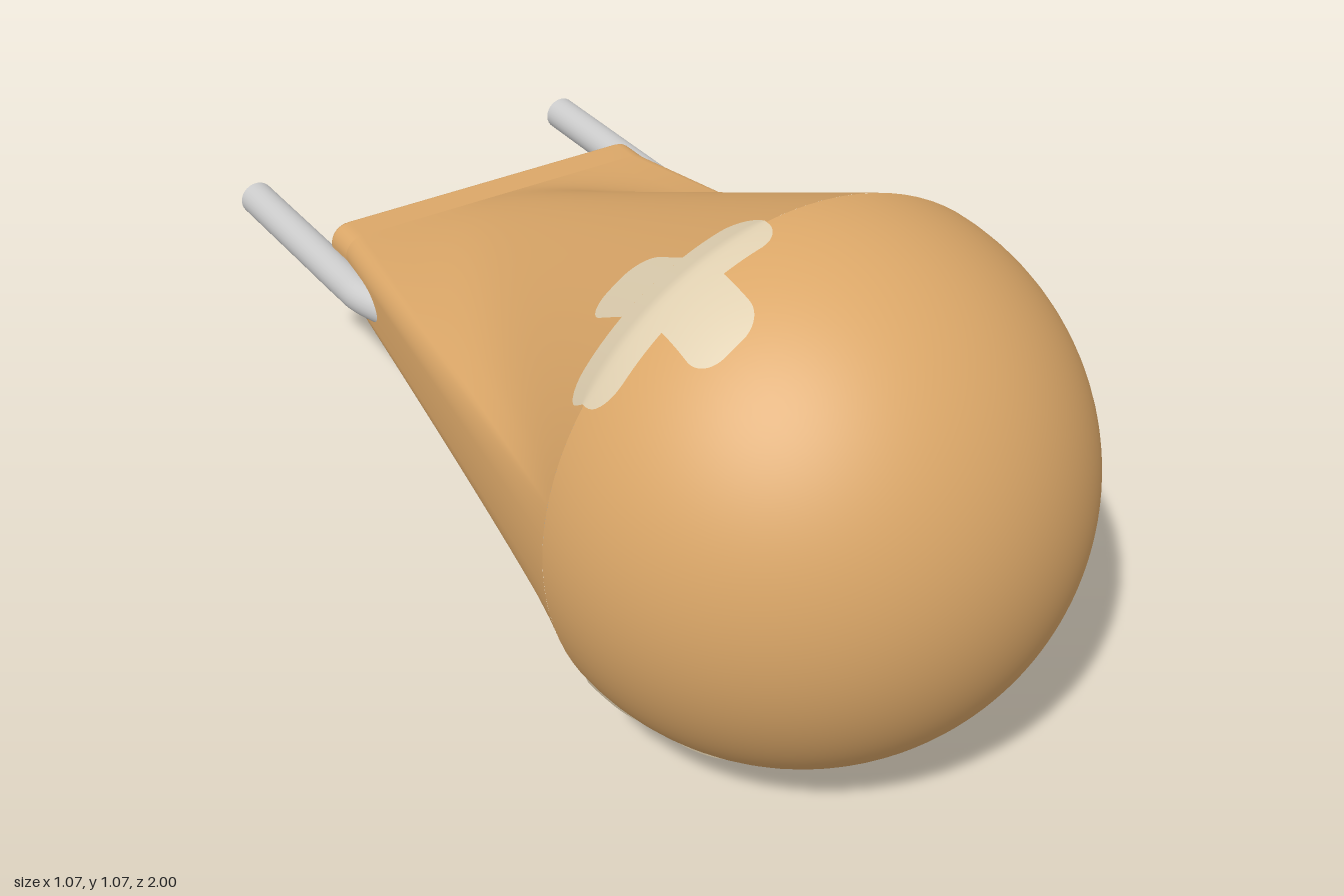
import * as THREE from 'three';

const R = 0.533, CY = 0.535, CZ = 0.467;       // dome radius and centre
const NECK_Z = -0.6, END_Z = -0.675;           // where the flat collar begins and ends
const HW = 0.365, HH = 0.076, CR = 0.04;       // collar half width, half height, corner radius

// polar radius of a rounded rectangle at angle a
function rectRadius(a, inset = 0) {
  const c = Math.abs(Math.cos(a)), s = Math.abs(Math.sin(a));
  const w = HW - inset, h = HH - inset, r = CR - inset;
  const cx = w - r, cy = h - r;
  if (c > 1e-6 && (w / c) * s <= cy) return w / c;
  if (s > 1e-6 && (h / s) * c <= cx) return h / s;
  const d = c * cx + s * cy;
  return d + Math.sqrt(Math.max(0, d * d - cx * cx - cy * cy + r * r));
}

const loftRadius = (a, t) => R + (rectRadius(a) - R) * t;

// angles round the section, denser at the corners of the collar
const angles = (() => {
  const a1 = Math.atan2(HH - CR, HW), a2 = Math.atan2(HH, HW - CR);
  const quarter = [];
  const span = (from, to, n) => {
    for (let i = 0; i < n; i++) quarter.push(from + ((to - from) * i) / n);
  };
  span(0, a1, 4);
  span(a1, a2, 10);
  span(a2, Math.PI / 2, 24);
  const half = [...quarter, Math.PI / 2, ...quarter.slice(1).reverse().map(a => Math.PI - a)];
  return [...half, ...half.map(a => a + Math.PI)];
})();

// skin through rings given as { z, radius(angle) }, ordered front to back
function skin(rings) {
  const pos = [], idx = [], n = angles.length;
  for (const { z, radius } of rings)
    for (const a of angles) {
      const r = radius(a);
      pos.push(r * Math.cos(a), CY + r * Math.sin(a), z);
    }
  for (let i = 0; i < rings.length - 1; i++)
    for (let j = 0; j < n; j++) {
      const a = i * n + j, b = i * n + ((j + 1) % n);
      idx.push(a, a + n, b, b, a + n, b + n);
    }
  return finish(pos, idx);
}

function finish(pos, idx) {
  const g = new THREE.BufferGeometry();
  g.setAttribute('position', new THREE.Float32BufferAttribute(pos, 3));
  g.setIndex(idx);
  g.computeVertexNormals();
  return g;
}

// height of the body's upper surface above its axis
function bodyHeight(x, z) {
  if (z >= CZ) return Math.sqrt(Math.max(0, R * R - x * x - (z - CZ) ** 2));
  const t = (CZ - z) / (CZ - NECK_Z);
  let lo = 0.1, hi = Math.PI / 2;
  for (let i = 0; i < 40; i++) {
    const m = (lo + hi) / 2;
    if (loftRadius(m, t) * Math.cos(m) > Math.abs(x)) lo = m; else hi = m;
  }
  return loftRadius(lo, t) * Math.sin(lo);
}

// one strip of a plaster laid on the body; rounded at the ends that reach full length
function plasterStrip(from, to, alongX, side) {
  const L = 0.178, W = 0.06, r = 0.045, px = -0.27, pz = 0.462, n = 36, m = 10;
  const pos = [], idx = [];
  for (let i = 0; i <= n; i++) {
    const s = (from + ((to - from) * (1 - Math.cos((Math.PI * i) / n))) / 2) * L;
    const e = Math.max(0, Math.abs(s) - (L - r));
    const w = W - r + Math.sqrt(Math.max(0, r * r - e * e));
    for (let j = 0; j <= m; j++) {
      const v = w * ((2 * j) / m - 1);
      const x = px + (alongX ? s : v), z = pz + (alongX ? v : s);
      pos.push(x, CY + side * (bodyHeight(x, z) + 0.005), z);
    }
  }
  const flip = alongX === (side > 0);
  for (let i = 0; i < n; i++)
    for (let j = 0; j < m; j++) {
      const a = i * (m + 1) + j, b = a + 1, c = a + m + 1, d = c + 1;
      if (flip) idx.push(a, b, c, b, d, c);
      else idx.push(a, c, b, b, c, d);
    }
  return finish(pos, idx);
}

export function createModel() {
  const model = new THREE.Group();
  model.name = 'bulb';
  const amber = new THREE.MeshStandardMaterial({ color: 0xdba768 });
  const cream = new THREE.MeshStandardMaterial({ color: 0xdfcfb0, side: THREE.DoubleSide });
  const grey = new THREE.MeshStandardMaterial({ color: 0xcccccc });

  const add = (name, geometry, material, parent = model) => {
    const mesh = new THREE.Mesh(geometry, material);
    mesh.name = name;
    parent.add(mesh);
    return mesh;
  };

  // round front
  const dome = new THREE.SphereGeometry(R, 96, 40, 0, Math.PI * 2, 0, Math.PI / 2);
  dome.rotateX(Math.PI / 2).translate(0, CY, CZ);
  add('dome', dome, amber);

  // body tapering from the circle to the flat collar
  const rows = Array.from({ length: 33 }, (_, i) => {
    const t = i / 32;
    return { z: CZ + (NECK_Z - CZ) * t, radius: a => loftRadius(a, t) };
  });
  add('taperedBody', skin(rows), amber);

  // collar with a softened rear edge
  const bevel = 0.012;
  const collar = [{ z: NECK_Z, radius: a => rectRadius(a) }];
  for (let i = 0; i <= 4; i++) {
    const k = (i / 4) * (Math.PI / 2);
    const inset = bevel * (1 - Math.cos(k));
    collar.push({ z: END_Z + bevel * (1 - Math.sin(k)), radius: a => rectRadius(a, inset) });
  }
  add('collar', skin(collar), amber);
  add('collarEnd', skin([
    { z: END_Z, radius: a => rectRadius(a, bevel) },
    { z: END_Z, radius: () => 0 },
  ]), amber);

  // two wires that bend into the sides of the body
  for (const side of [1, -1]) {
    const wire = new THREE.Group();
    wire.name = side > 0 ? 'leftWire' : 'rightWire';
    const path = new THREE.CatmullRomCurve3(
      [[0.383, -1], [0.383, -0.75], [0.383, -0.56], [0.381, -0.5], [0.36, -0.42], [0.335, -0.33]]
        .map(([x, z]) => new THREE.Vector3(side * x, CY, z)));
    add('wireRod', new THREE.TubeGeometry(path, 48, 0.036, 28), grey, wire);
    const tip = add('wireTip', new THREE.CircleGeometry(0.036, 28), grey, wire);
    tip.position.set(side * 0.383, CY, -1);
    tip.rotation.y = Math.PI;
    model.add(wire);
  }

  // cross-shaped plasters above and below
  for (const side of [1, -1]) {
    const plaster = new THREE.Group();
    plaster.name = side > 0 ? 'upperPlaster' : 'lowerPlaster';
    const inner = 0.06 / 0.178;
    add('plasterCrossStrip', plasterStrip(-1, 1, true, side), cream, plaster);
    add('plasterFrontStrip', plasterStrip(inner, 1, false, side), cream, plaster);
    add('plasterBackStrip', plasterStrip(-1, -inner, false, side), cream, plaster);
    model.add(plaster);
  }
  return model;
}
